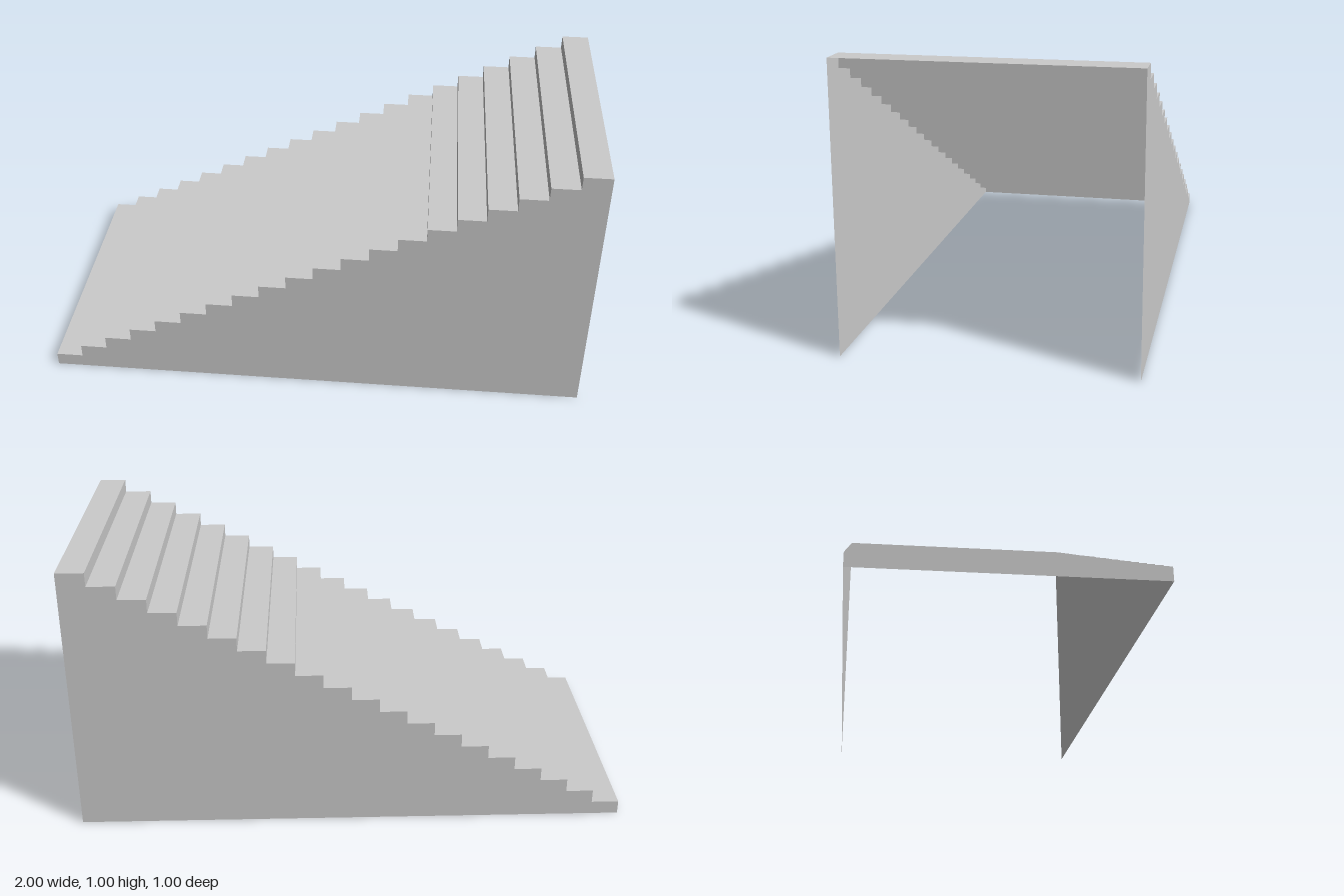
import * as THREE from 'three';

const STEPS = 20, RUN = 0.1, RISE = 0.05, WIDTH = 1;

export function createModel() {
  const group = new THREE.Group();
  const material = new THREE.MeshStandardMaterial({
    color: 0xcccccc, side: THREE.DoubleSide, flatShading: true,
  });
  const add = (name, geometry, x, y, z) => {
    const mesh = new THREE.Mesh(geometry, material);
    mesh.name = name;
    mesh.position.set(x, y, z);
    group.add(mesh);
  };

  // Thin sheets shared by all steps: treads face up, risers face the low end
  const tread = new THREE.PlaneGeometry(RUN, WIDTH).rotateX(-Math.PI / 2);
  const riser = new THREE.PlaneGeometry(WIDTH, RISE).rotateY(-Math.PI / 2);

  // Flight of steps climbing toward +x, with the stepped outline of the sides
  const outline = new THREE.Shape().moveTo(-1, 0);
  for (let i = 0; i < STEPS; i++) {
    const x = -1 + i * RUN, top = (i + 1) * RISE;
    add(`riser${i + 1}`, riser, x, top - RISE / 2, 0);
    add(`tread${i + 1}`, tread, x + RUN / 2, top, 0);
    outline.lineTo(x, top).lineTo(x + RUN, top);
  }
  outline.lineTo(1, 0);

  // Side walls; the underside and the tall end stay open
  const wall = new THREE.ShapeGeometry(outline);
  add('frontWall', wall, 0, 0, WIDTH / 2);

  // Reversed winding so the back wall faces outward
  const backWall = wall.clone();
  backWall.scale(-1, 1, 1).rotateY(Math.PI);
  const index = backWall.index;
  for (let i = 0; i < index.count; i += 3) {
    const a = index.getX(i);
    index.setX(i, index.getX(i + 1));
    index.setX(i + 1, a);
  }
  backWall.computeVertexNormals();
  add('backWall', backWall, 0, 0, -WIDTH / 2);

  return group;
}
